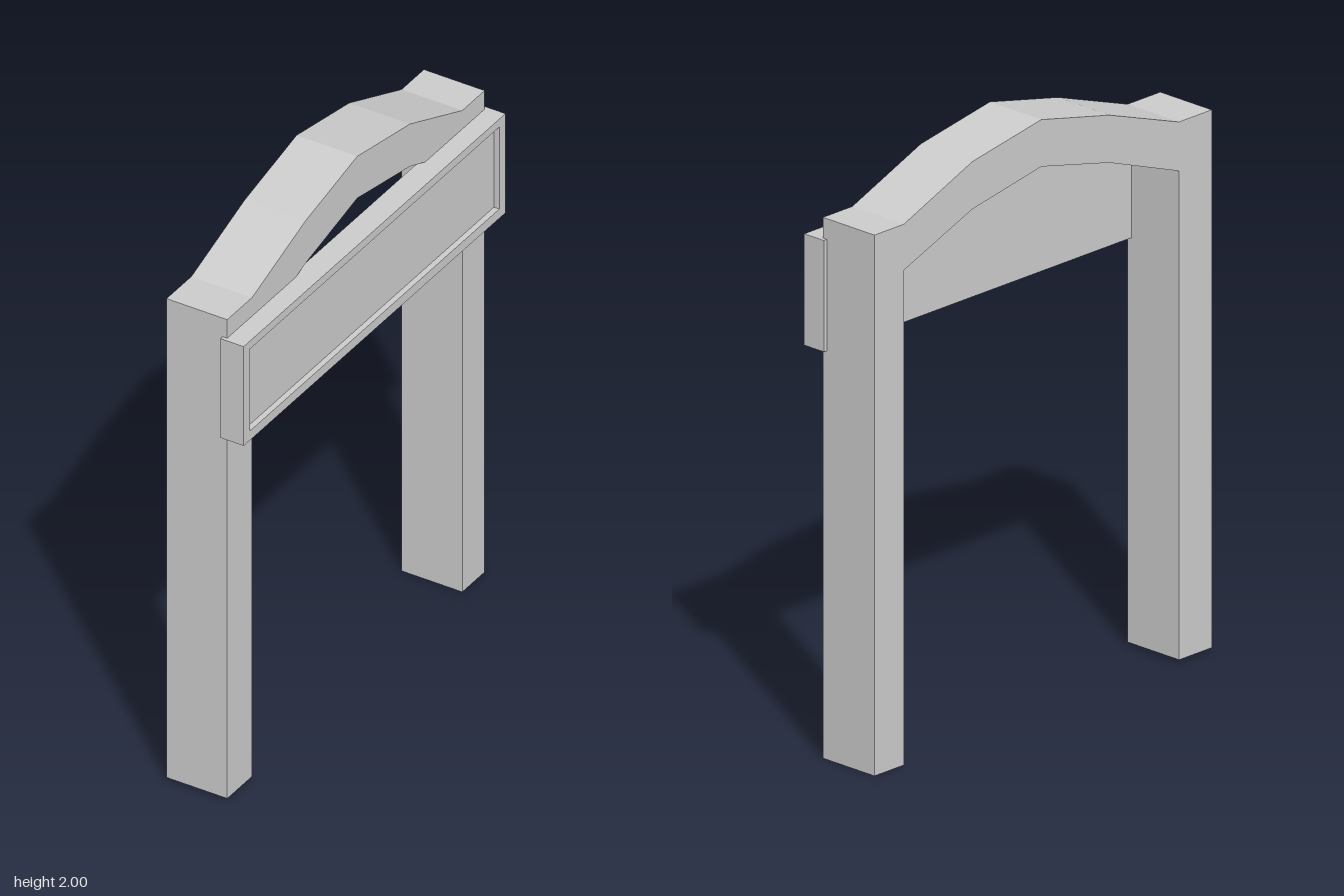
import * as THREE from 'three';

const material = new THREE.MeshStandardMaterial({ color: 0xcccccc, flatShading: true });

// Extrude a [z, y] outline along x, from x0 to x1
function extrudeAlongX(name, outline, x0, x1, hole) {
  const toPoints = (list) => list.map(([z, y]) => new THREE.Vector2(-z, y));
  const shape = new THREE.Shape(toPoints(outline));
  if (hole) shape.holes.push(new THREE.Path(toPoints(hole)));
  const geometry = new THREE.ExtrudeGeometry(shape, { depth: x1 - x0, bevelEnabled: false });
  geometry.rotateY(Math.PI / 2);
  geometry.translate(x0, 0, 0);
  const mesh = new THREE.Mesh(geometry, material);
  mesh.name = name;
  return mesh;
}

const rectangle = (z, y0, y1) => [[z, y0], [-z, y0], [-z, y1], [z, y1]];

export function createModel() {
  const model = new THREE.Group();
  model.name = 'archedGateway';

  // Two posts joined by a faceted arch, as one continuous outline
  const outer = [
    [0.763, 0.01], [0.763, 1.82], [0.615, 1.82], [0.30, 1.93], [-0.008, 2],
    [-0.32, 1.945], [-0.63, 1.82], [-0.763, 1.82], [-0.763, 0],
  ];
  const inner = [
    [-0.63, 0], [-0.63, 1.665], [-0.32, 1.785], [-0.008, 1.842],
    [0.30, 1.77], [0.615, 1.655], [0.615, 0.01],
  ];
  model.add(extrudeAlongX('archAndPosts', [...outer, ...inner], -0.148, 0.077));

  // Sign board: raised frame around a recessed panel
  const sign = new THREE.Group();
  sign.name = 'signBoard';
  const opening = rectangle(0.739, 1.41, 1.72);
  sign.add(extrudeAlongX('signFrame', rectangle(0.776, 1.375, 1.75), 0.06, 0.146, opening));
  sign.add(extrudeAlongX('signPanel', opening, 0.06, 0.126));
  model.add(sign);

  return model;
}
